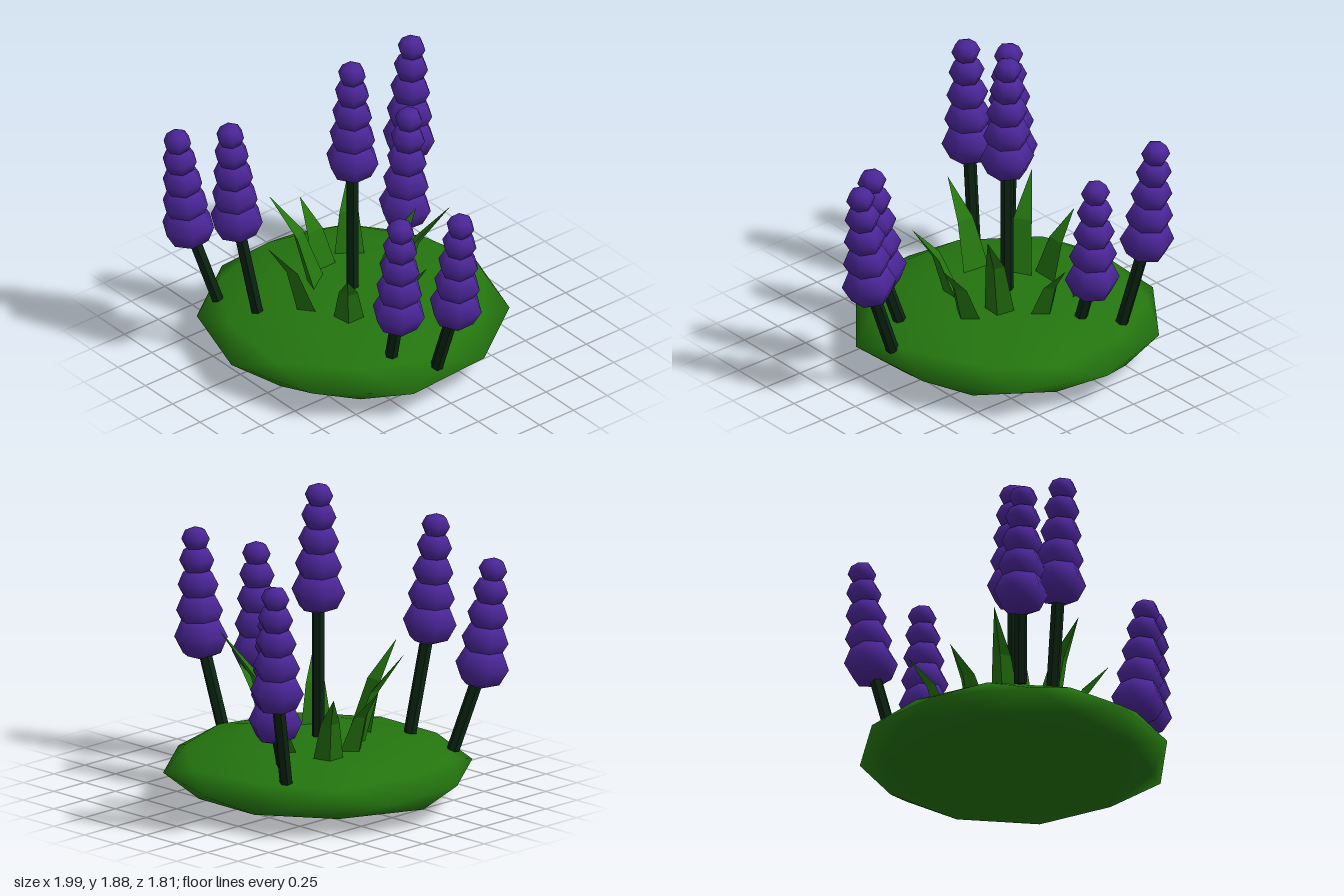
import * as THREE from 'three';

const petal = new THREE.MeshStandardMaterial({ color: 0x4b2699 });
petal.name = 'petal purple';
const grass = new THREE.MeshStandardMaterial({ color: 0x24750f });
grass.name = 'grass green';
const stalk = new THREE.MeshStandardMaterial({ color: 0x0a2512 });
stalk.name = 'stalk dark green';

const V = (p) => new THREE.Vector3(...p);
const UP = new THREE.Vector3(0, 1, 0);

// give every face its own normal
function faceted(geometry) {
  const g = geometry.index ? geometry.toNonIndexed() : geometry;
  g.computeVertexNormals();
  return g;
}

function add(parent, name, geometry, material) {
  const mesh = new THREE.Mesh(geometry, material);
  mesh.name = name;
  parent.add(mesh);
  return mesh;
}

// flattened smooth ball, one corner pointing up, bulging low on the left
function moundGeometry() {
  const g = new THREE.IcosahedronGeometry(1, 1);
  g.rotateZ(-Math.atan(2 / (1 + Math.sqrt(5))));
  const p = g.attributes.position;
  for (let i = 0; i < p.count; i++) {
    if (p.getX(i) < -0.8 && p.getY(i) < -0.3) p.setX(i, p.getX(i) * 1.07);
    if (p.getX(i) > 0.9 && p.getZ(i) > 0.2) p.setX(i, p.getX(i) * 1.05);
  }
  g.scale(0.9, 0.182, 0.9);
  g.translate(-0.14, 0.182, 0.005);
  return g;
}

// stem from base to the lowest bloom, then five shrinking blooms along the spike
const BLOOMS = [[0.16, 0], [0.14, 0.155], [0.122, 0.305], [0.105, 0.45], [0.085, 0.575]];
const bloomGeometry = new THREE.SphereGeometry(1, 6, 4);
bloomGeometry.rotateY(Math.PI / 2);
bloomGeometry.scale(1, 0.86, 1);

function makeFlower(base, low, high) {
  const flower = new THREE.Group();
  flower.name = 'flower';
  const a = V(base), b = V(low);
  const dir = b.clone().sub(a);
  const stem = add(flower, 'stem',
    faceted(new THREE.CylinderGeometry(0.038, 0.038, dir.length(), 6)), stalk);
  stem.position.copy(a).lerp(b, 0.5);
  stem.quaternion.setFromUnitVectors(UP, dir.normalize());

  const axis = V(high).sub(b).normalize();
  for (const [r, d] of BLOOMS) {
    const bloom = add(flower, 'bloom', bloomGeometry, petal);
    bloom.position.copy(b).addScaledVector(axis, d);
    bloom.quaternion.setFromUnitVectors(UP, axis);
    bloom.scale.setScalar(r);
  }
  return flower;
}

// bent three-sided blade: base triangle, narrower middle triangle, tip
function bladeGeometry(base, tip) {
  const b = V(base), t = V(tip);
  const out = t.clone().sub(b).setY(0);
  const reach = out.length();
  out.normalize();
  const side = new THREE.Vector3(out.z, 0, -out.x);
  const pts = [];
  for (const [h, along, w, depth] of [[0, 0, 0.088, 0.07], [0.58, 0.38, 0.055, 0.04], [1, 1, 0, 0]]) {
    const c = b.clone().addScaledVector(out, reach * along);
    c.y = THREE.MathUtils.lerp(b.y, t.y, h);
    pts.push(c.clone().addScaledVector(side, -w),
      c.clone().addScaledVector(out, depth),
      c.clone().addScaledVector(side, w));
  }
  const index = [];
  for (let k = 0; k < 2; k++) {
    for (let i = 0; i < 3; i++) {
      const p = k * 3 + i, q = k * 3 + (i + 1) % 3;
      index.push(p, q, q + 3);
      if (k === 0) index.push(p, q + 3, p + 3);
    }
  }
  const g = new THREE.BufferGeometry().setFromPoints(pts);
  g.setIndex(index);
  return faceted(g);
}

export function createModel() {
  const model = new THREE.Group();
  model.name = 'flower mound';
  add(model, 'mound', moundGeometry(), grass);

  // stem base, lowest bloom, topmost bloom
  const flowers = [
    [[-0.14, 0.3, 0.01], [-0.14, 1.23, 0.01], [-0.145, 1.81, 0.01]],
    [[-0.49, 0.27, -0.6], [-0.56, 0.87, -0.745], [-0.59, 1.455, -0.79]],
    [[-0.31, 0.28, -0.44], [-0.33, 0.6, -0.53], [-0.33, 1.18, -0.56]],
    [[0.68, 0.24, 0.05], [0.855, 0.74, 0.05], [0.91, 1.315, 0.06]],
    [[0.48, 0.28, 0.225], [0.6, 0.66, 0.265], [0.64, 1.235, 0.285]],
    [[-0.645, 0.26, 0.6], [-0.757, 0.76, 0.725], [-0.79, 1.335, 0.78]],
    [[-0.345, 0.31, 0.55], [-0.395, 0.96, 0.66], [-0.405, 1.54, 0.7]],
  ];
  for (const f of flowers) model.add(makeFlower(...f));

  // blade base middle, blade tip
  const blades = [
    [[0.025, 0.33, -0.125], [0.305, 0.98, -0.355]],
    [[0.19, 0.32, -0.05], [0.42, 0.72, -0.09]],
    [[0.075, 0.33, 0.21], [0.265, 0.735, 0.375]],
    [[-0.17, 0.33, 0.32], [-0.185, 0.83, 0.6]],
    [[-0.305, 0.33, 0.12], [-0.56, 0.88, 0.29]],
    [[-0.41, 0.33, 0.0], [-0.635, 0.72, 0.0]],
    [[-0.44, 0.32, -0.21], [-0.63, 0.75, -0.355]],
    [[-0.16, 0.33, -0.275], [-0.17, 0.68, -0.485]],
  ];
  for (const [b, t] of blades) add(model, 'grass blade', bladeGeometry(b, t), grass);
  return model;
}
